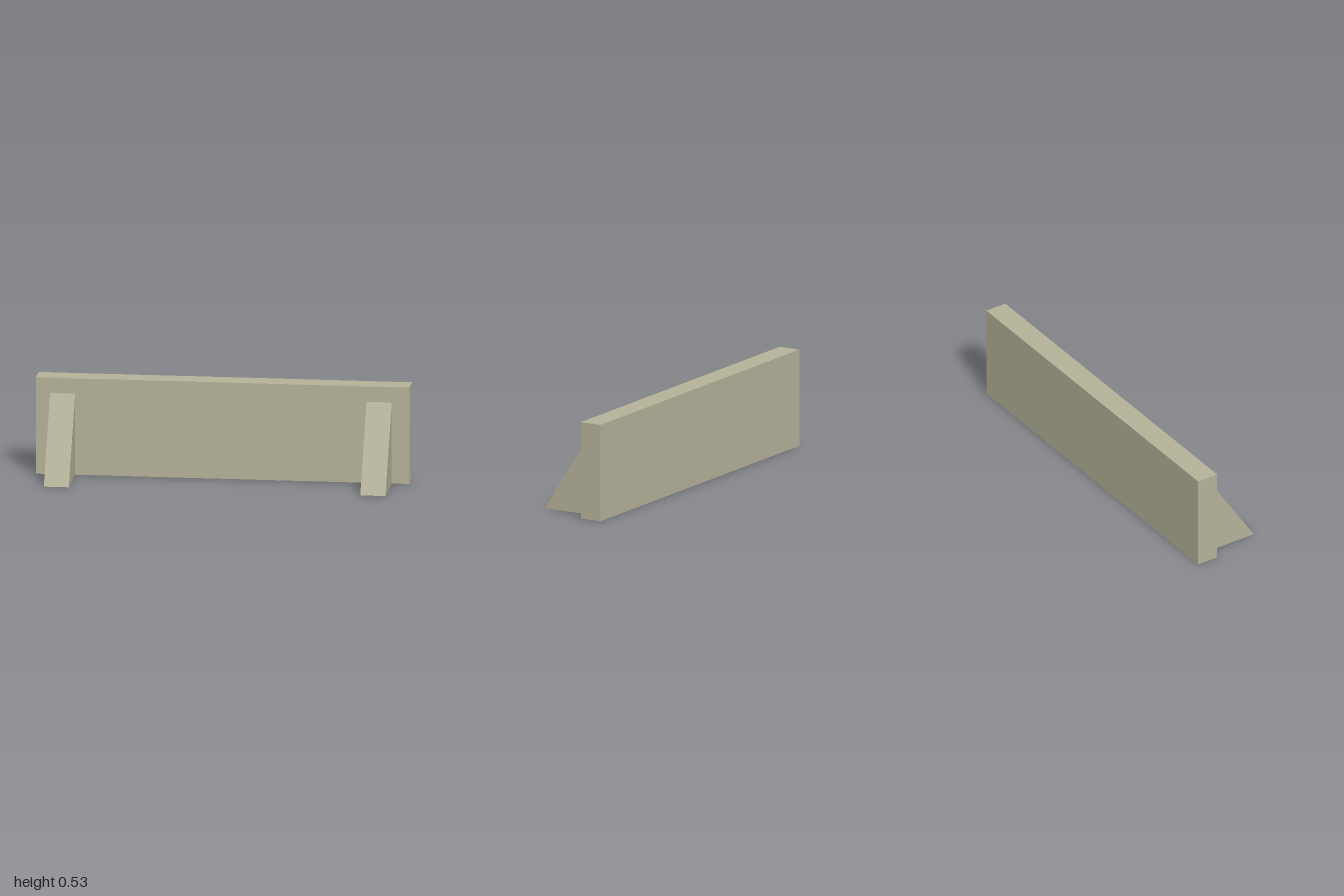
import * as THREE from 'three';

const BACK = -0.204, FACE = -0.082, FRONT = 0.204;

// Extrudes a (z, y) profile along x from x0 to x1, then drops the faces the rule marks as open.
function hollowPrism(profile, x0, x1, isOpen) {
  const shape = new THREE.Shape(profile.map(([z, y]) => new THREE.Vector2(z, y)));
  const solid = new THREE.ExtrudeGeometry(shape, { depth: x1 - x0, bevelEnabled: false });
  solid.rotateY(-Math.PI / 2).translate(x1, 0, 0);
  const p = solid.attributes.position;
  const kept = [];
  for (let i = 0; i < p.count; i += 3) {
    const corners = [i, i + 1, i + 2];
    if (isOpen(corners.map((k) => p.getZ(k)), corners.map((k) => p.getY(k)))) continue;
    corners.forEach((k) => kept.push(p.getX(k), p.getY(k), p.getZ(k)));
  }
  const geometry = new THREE.BufferGeometry();
  geometry.setAttribute('position', new THREE.Float32BufferAttribute(kept, 3));
  geometry.computeVertexNormals();
  return geometry;
}

const allAt = (values, target) => values.every((v) => Math.abs(v - target) < 1e-4);

export function createModel() {
  const group = new THREE.Group();
  group.name = 'barrier';
  const concrete = new THREE.MeshStandardMaterial({ color: 0xb5b299, side: THREE.DoubleSide });
  concrete.name = 'concrete';

  const add = (name, geometry) => {
    const mesh = new THREE.Mesh(geometry, concrete);
    mesh.name = name;
    group.add(mesh);
  };

  // Upright slab, open underneath
  const slab = [[BACK, 0], [FACE, 0], [FACE, 0.527], [BACK, 0.527]];
  add('wallSlab', hollowPrism(slab, -1, 1, (z, y) => allAt(y, 0)));

  // Sloping buttresses, open underneath and against the slab
  const wedge = [[FACE, 0], [FRONT, 0], [FACE, 0.443]];
  const wedgeOpen = (z, y) => allAt(y, 0) || allAt(z, FACE);
  add('rightButtress', hollowPrism(wedge, -0.924, -0.79, wedgeOpen));
  add('leftButtress', hollowPrism(wedge, 0.77, 0.905, wedgeOpen));

  return group;
}
